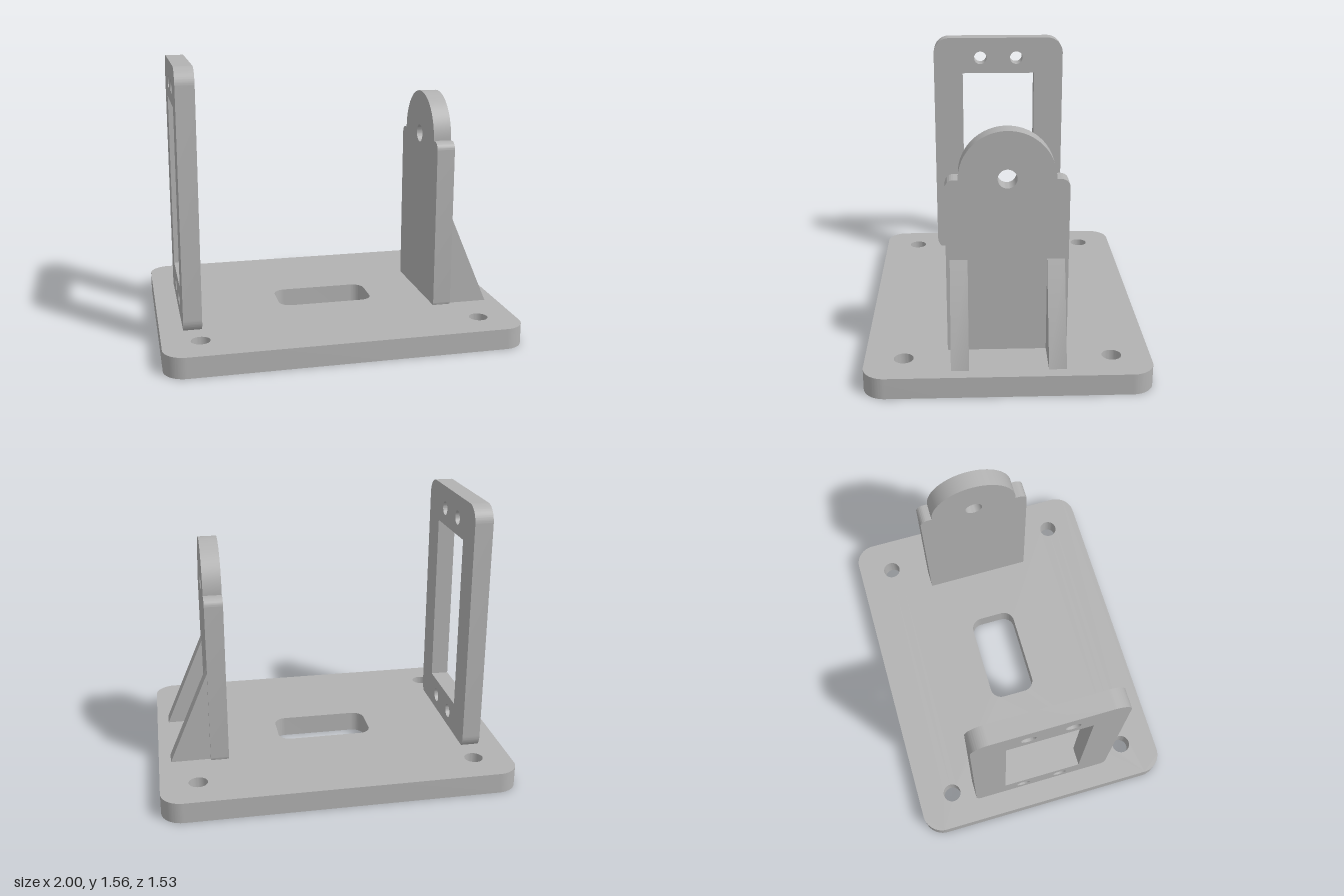
import * as THREE from 'three';
import { toCreasedNormals } from 'three/addons/utils/BufferGeometryUtils.js';

const BASE_TOP = 0.118;

// Rounded rectangle outline centred on (cx, cy), w and h are half sizes
function roundedRect(path, cx, cy, w, h, r) {
  path.moveTo(cx - w + r, cy - h);
  path.absarc(cx + w - r, cy - h + r, r, -Math.PI / 2, 0);
  path.absarc(cx + w - r, cy + h - r, r, 0, Math.PI / 2);
  path.absarc(cx - w + r, cy + h - r, r, Math.PI / 2, Math.PI);
  path.absarc(cx - w + r, cy - h + r, r, Math.PI, Math.PI * 1.5);
  path.closePath();
  return path;
}

function roundHole(x, y, r) {
  return new THREE.Path().absarc(x, y, r, 0, Math.PI * 2, true);
}

function extrude(shape, depth) {
  return new THREE.ExtrudeGeometry(shape, { depth, bevelEnabled: false, curveSegments: 20 });
}

export function createModel() {
  const group = new THREE.Group();
  const grey = new THREE.MeshStandardMaterial({ color: 0xb2b2b2 });
  grey.name = 'plain grey';

  function add(name, geometry) {
    const mesh = new THREE.Mesh(toCreasedNormals(geometry, 0.5), grey);
    mesh.name = name;
    group.add(mesh);
  }

  // Base plate with a central slot and four mounting holes
  const base = roundedRect(new THREE.Shape(), 0, 0, 1, 0.767, 0.12);
  base.holes.push(roundedRect(new THREE.Path(), 0, 0, 0.28, 0.14, 0.07));
  for (const x of [-0.79, 0.79])
    for (const z of [-0.558, 0.558]) base.holes.push(roundHole(x, z, 0.053));
  add('basePlate', extrude(base, BASE_TOP).rotateX(-Math.PI / 2));

  // Upright frame with a rectangular window and two pairs of screw holes
  const frame = roundedRect(new THREE.Shape(), 0, 0.82, 0.419, 0.74, 0.1);
  const windowHole = new THREE.Path();
  windowHole.setFromPoints([[-0.233, 0.31], [-0.233, 1.33], [0.233, 1.33], [0.233, 0.31]]
    .map(([x, y]) => new THREE.Vector2(x, y)));
  windowHole.closePath();
  frame.holes.push(windowHole);
  for (const x of [-0.117, 0.117])
    for (const y of [0.21, 1.43]) frame.holes.push(roundHole(x, y, 0.041));
  add('windowFrame', extrude(frame, 0.104).rotateY(Math.PI / 2).translate(-0.871, 0, 0));

  // Bearing upright: rounded shoulders below a semicircular head
  const w = 0.324, r = 0.045, shoulder = 1.092, head = 0.255, foot = 0.09;
  const upright = new THREE.Shape();
  upright.moveTo(-w + r, foot);
  upright.absarc(w - r, foot + r, r, -Math.PI / 2, 0);
  upright.absarc(w - r, shoulder - r, r, 0, Math.PI / 2);
  upright.lineTo(head, shoulder);
  upright.absarc(0, 1.095, head, 0, Math.PI);
  upright.lineTo(-head, shoulder);
  upright.absarc(-w + r, shoulder - r, r, Math.PI / 2, Math.PI);
  upright.absarc(-w + r, foot + r, r, Math.PI, Math.PI * 1.5);
  upright.closePath();
  upright.holes.push(roundHole(0, 1.095, 0.051));
  add('bearingUpright', extrude(upright, 0.104).rotateY(Math.PI / 2).translate(0.601, 0, 0));

  // Triangular gussets bracing the bearing upright
  const gusset = new THREE.Shape();
  gusset.moveTo(0.7, BASE_TOP - 0.01);
  gusset.lineTo(0.932, BASE_TOP - 0.01);
  gusset.lineTo(0.932, BASE_TOP);
  gusset.lineTo(0.705, 0.65);
  gusset.lineTo(0.7, 0.65);
  gusset.closePath();
  for (const side of [-1, 1])
    add(side > 0 ? 'frontGusset' : 'backGusset',
      extrude(gusset, 0.094).translate(0, 0, side * 0.257 - 0.047));

  return group;
}
